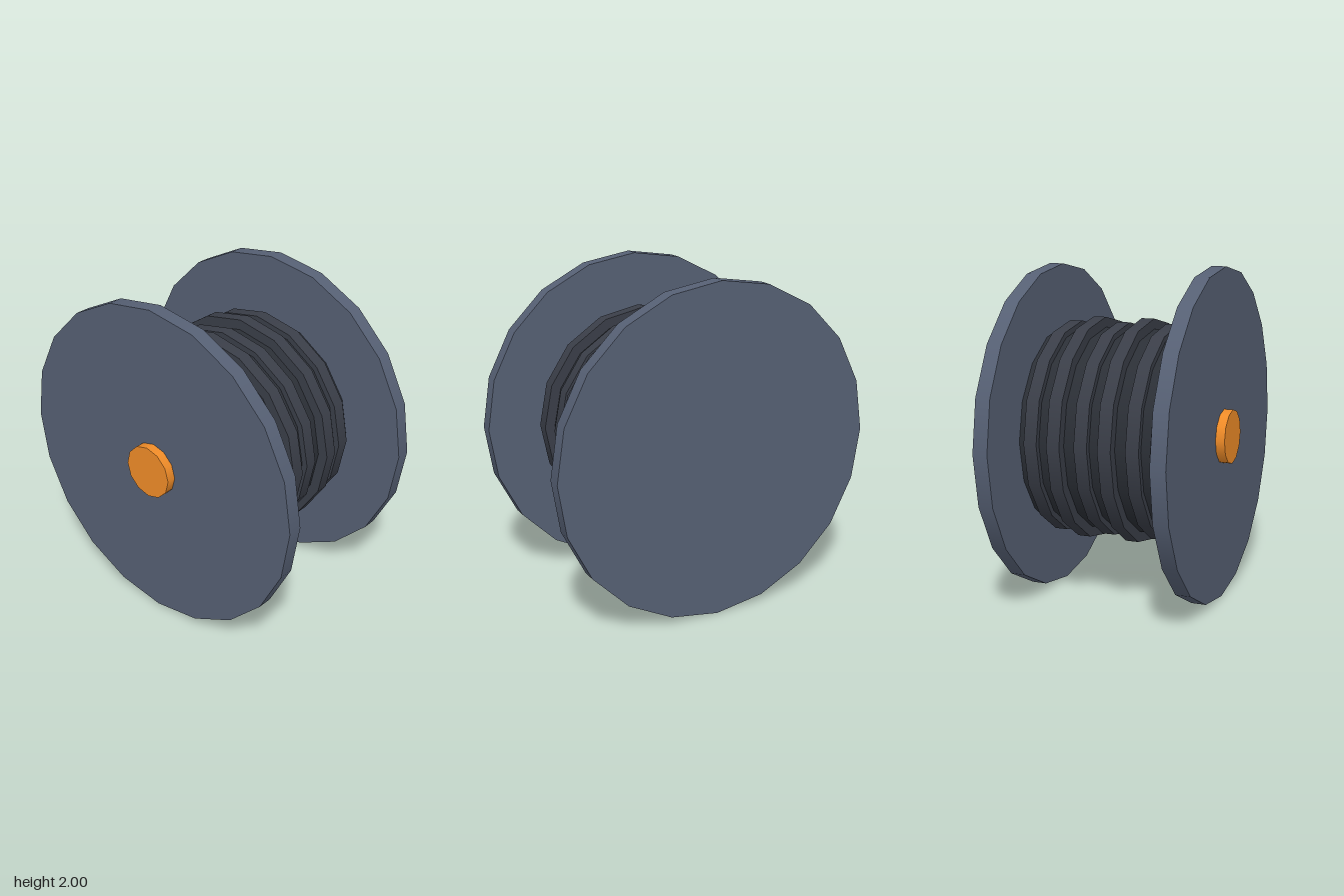
import * as THREE from 'three';

const flangeMat = new THREE.MeshStandardMaterial({ color: 0x566074 });
const drumMat = new THREE.MeshStandardMaterial({ color: 0x2b2f36 });
const coilMat = new THREE.MeshStandardMaterial({ color: 0x3a3e48 });
const capMat = new THREE.MeshStandardMaterial({ color: 0xf08c28 });

// Disc lying along the x axis, from x0 to x1
function disc(name, radius, x0, x1, sides, material) {
  const geometry = new THREE.CylinderGeometry(radius, radius, x1 - x0, sides);
  geometry.rotateZ(Math.PI / 2);
  const mesh = new THREE.Mesh(geometry, material);
  mesh.name = name;
  mesh.position.set((x0 + x1) / 2, 1, 0);
  return mesh;
}

export function createModel() {
  const spool = new THREE.Group();
  spool.name = 'spool';

  // Central drum between the two large flanges
  spool.add(disc('drum', 0.62, -0.45, 0.5, 16, drumMat));
  spool.add(disc('rightFlange', 1, -0.54, -0.45, 20, flangeMat));
  spool.add(disc('leftFlange', 1, 0.5, 0.59, 20, flangeMat));

  // Wound coils, alternating in height
  const coils = new THREE.Group();
  coils.name = 'coils';
  for (let i = 0; i < 6; i++) {
    const x = -0.37 + i * 0.157;
    coils.add(disc('coil' + (i + 1), i % 2 ? 0.655 : 0.683, x - 0.04, x + 0.04, 16, coilMat));
  }
  spool.add(coils);

  // Coloured hub cap on the right flange
  spool.add(disc('hubCap', 0.163, -0.595, -0.54, 12, capMat));
  return spool;
}
